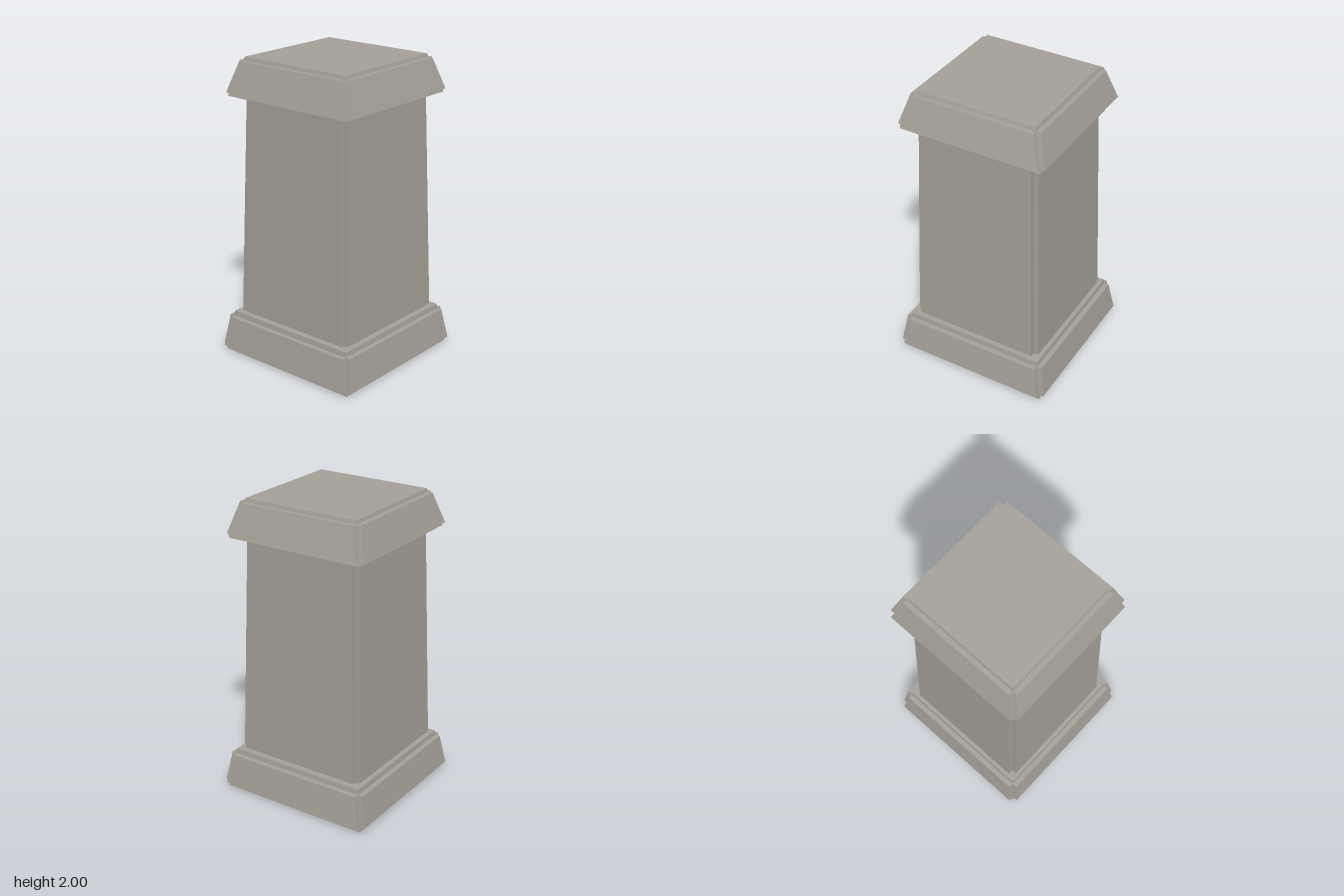
import * as THREE from 'three';

// Tapered block: half sizes at the bottom (x, z) and at the top (x, z)
function frustum(y0, x0, z0, y1, x1, z1) {
  const geo = new THREE.BoxGeometry(2, 1, 2).toNonIndexed();
  const p = geo.attributes.position;
  for (let i = 0; i < p.count; i++) {
    const top = p.getY(i) > 0;
    p.setXYZ(i, p.getX(i) * (top ? x1 : x0), top ? y1 : y0, p.getZ(i) * (top ? z1 : z0));
  }
  geo.computeVertexNormals();
  return geo;
}

export function createModel() {
  const group = new THREE.Group();
  const stone = new THREE.MeshStandardMaterial({ color: 0xa5a097 });
  stone.name = 'stone';

  // Each tier is a core with two crossing slabs, leaving notched corners and rims.
  // core and slab: [bottom y, bottom half, top y, top half]; step: slab overhang
  const tiers = [
    { name: 'base', core: [0, 0.525, 0.275, 0.482], slab: [0.036, 0.554, 0.242, 0.52], step: 0.034 },
    { name: 'shaft', core: [0.26, 0.428, 1.77, 0.384], slab: [0.288, 0.46, 1.754, 0.417], step: 0.033 },
    { name: 'cap', core: [1.752, 0.483, 2, 0.404], slab: [1.777, 0.505, 1.976, 0.442], step: 0.031 },
  ];

  for (const { name, core, slab, step } of tiers) {
    const tier = new THREE.Group();
    tier.name = name;
    const add = (part, geo) => {
      const mesh = new THREE.Mesh(geo, stone);
      mesh.name = part;
      tier.add(mesh);
    };
    const [cy0, c0, cy1, c1] = core;
    const [y0, s0, y1, s1] = slab;
    add(name + 'Core', frustum(cy0, c0, c0, cy1, c1, c1));
    add(name + 'SideSlab', frustum(y0, s0, s0 - step, y1, s1, s1 - step));
    add(name + 'FrontBackSlab', frustum(y0, s0 - step, s0, y1, s1 - step, s1));
    group.add(tier);
  }
  return group;
}
